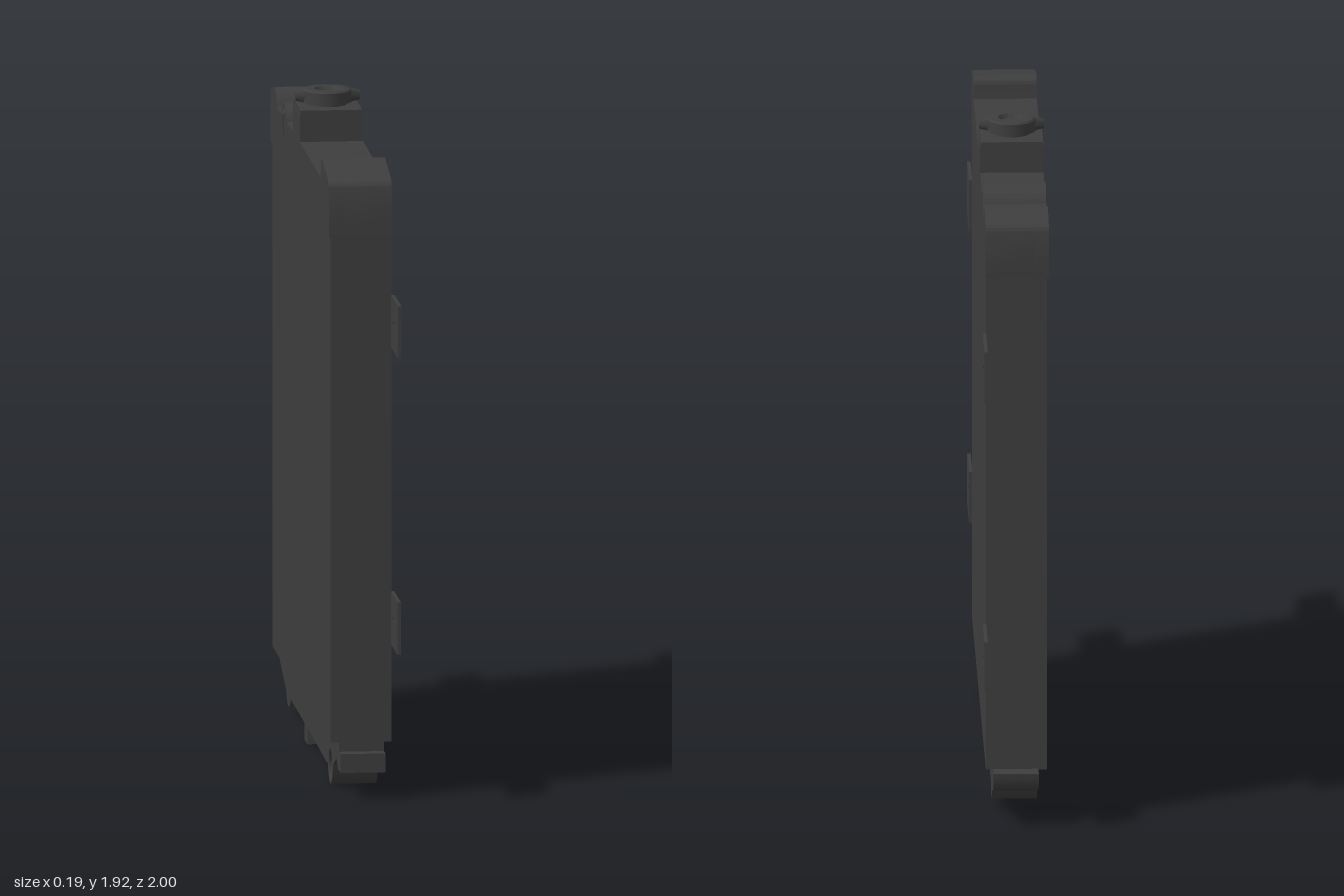
import * as THREE from 'three';
import { toCreasedNormals } from 'three/addons/utils/BufferGeometryUtils.js';

const black = new THREE.MeshStandardMaterial({ color: 0x3e3e3e });
black.name = 'black';

// Side profiles are drawn in (s, y) with s = -z, then extruded along x.
function slab(name, shape, x0, x1) {
  const g = new THREE.ExtrudeGeometry(shape, { depth: x1 - x0, bevelEnabled: false, curveSegments: 20 });
  g.rotateY(Math.PI / 2);
  g.translate(x0, 0, 0);
  const m = new THREE.Mesh(toCreasedNormals(g, 0.6), black);
  m.name = name;
  return m;
}

function withHole(shape, s, y, r) {
  const copy = shape.clone();
  copy.holes.push(new THREE.Path().absarc(s, y, r, 0, Math.PI * 2, true));
  return copy;
}

// A tank is a solid slab plus a rear layer holding a blind pipe port
function tank(name, shape, x0, x1, s, y, r) {
  const g = new THREE.Group();
  g.name = name;
  const mid = x0 + 0.04;
  g.add(slab(name + 'Body', shape, mid, x1));
  g.add(slab(name + 'PortLayer', withHole(shape, s, y, r), x0, mid));
  return g;
}

function topProfile() {
  const p = new THREE.Shape();
  p.moveTo(-0.813, 1.643);
  p.lineTo(-0.813, 1.72);
  p.lineTo(-0.803, 1.785);
  p.quadraticCurveTo(-0.80, 1.805, -0.77, 1.812);
  p.lineTo(-0.61, 1.84);
  p.quadraticCurveTo(-0.582, 1.84, -0.582, 1.815);
  p.lineTo(-0.577, 1.78);
  p.lineTo(0, 1.782);
  // filler neck block
  p.lineTo(0, 1.862);
  p.lineTo(0.195, 1.862);
  p.lineTo(0.195, 1.78);
  p.lineTo(0.375, 1.775);
  // pipe bump
  p.quadraticCurveTo(0.39, 1.817, 0.44, 1.819);
  p.quadraticCurveTo(0.49, 1.817, 0.51, 1.775);
  p.lineTo(0.635, 1.773);
  // end bump
  p.quadraticCurveTo(0.66, 1.822, 0.705, 1.82);
  p.lineTo(0.79, 1.802);
  p.quadraticCurveTo(0.81, 1.795, 0.812, 1.77);
  p.lineTo(0.82, 1.735);
  p.lineTo(0.818, 1.643);
  p.closePath();
  return p;
}

function bottomProfile() {
  const p = new THREE.Shape();
  p.moveTo(-0.80, 0.172);
  // drain spout
  p.lineTo(-0.80, 0.142);
  p.lineTo(-0.84, 0.142);
  p.lineTo(-0.84, 0.087);
  p.lineTo(-0.77, 0.087);
  p.lineTo(-0.725, 0.11);
  p.lineTo(-0.632, 0.075);
  // pipe bump
  p.bezierCurveTo(-0.61, -0.012, -0.51, -0.012, -0.49, 0.055);
  p.lineTo(-0.46, 0.052);
  p.lineTo(0.082, 0.06);
  // locating peg
  p.lineTo(0.082, 0.01);
  p.lineTo(0.155, 0.01);
  p.lineTo(0.155, 0.06);
  p.lineTo(0.545, 0.06);
  p.quadraticCurveTo(0.56, 0.032, 0.608, 0.03);
  p.quadraticCurveTo(0.65, 0.032, 0.67, 0.067);
  p.lineTo(0.835, 0.12);
  p.quadraticCurveTo(0.853, 0.128, 0.858, 0.172);
  p.closePath();
  return p;
}

function rect(s0, s1, y0, y1) {
  return new THREE.Shape([[s0, y0], [s1, y0], [s1, y1], [s0, y1]].map(([a, b]) => new THREE.Vector2(a, b)));
}

export function createModel() {
  const model = new THREE.Group();
  model.name = 'radiator';

  // Core block
  model.add(slab('core', rect(-0.805, 0.805, 0.17, 1.643), -0.09, 0.086));

  // Tanks
  model.add(tank('topTank', topProfile(), -0.095, 0.087, 0.44, 1.762, 0.045));
  model.add(tank('bottomTank', bottomProfile(), -0.065, 0.065, -0.56, 0.063, 0.046));

  // Filler neck rim and cap
  model.add(slab('fillerRim', rect(-0.004, 0.206, 1.858, 1.874), -0.093, 0.085));
  const outline = [[0, 1.86], [0.055, 1.86], [0.055, 1.882], [0.07, 1.882], [0.07, 1.915],
    [0.065, 1.92], [0.038, 1.92], [0.03, 1.908], [0, 1.908]];
  const lathe = new THREE.LatheGeometry(outline.map(([r, y]) => new THREE.Vector2(r, y)), 32);
  const cap = new THREE.Mesh(toCreasedNormals(lathe, 0.6), black);
  cap.name = 'fillerCap';
  cap.position.set(-0.005, 0, -0.102);
  model.add(cap);
  for (const side of [-1, 1]) {
    const ear = new THREE.Mesh(new THREE.CylinderGeometry(0.018, 0.03, 0.04, 4), black);
    ear.geometry.rotateZ(-side * Math.PI / 2);
    ear.geometry.scale(1, 0.8, 1);
    ear.name = 'capEar';
    ear.position.set(-0.005 + side * 0.073, 1.9, -0.102);
    model.add(ear);
  }

  // Mounting brackets: start, end, hole (s) and bottom, hole (y)
  const brackets = [
    [-1.0, -0.803, -0.885, 1.32, 1.40],
    [-0.98, -0.785, -0.857, 0.453, 0.535],
    [0.803, 1.0, 0.925, 1.32, 1.40],
    [0.803, 1.0, 0.925, 0.453, 0.535],
  ];
  for (const [s0, s1, hs, y0, hy] of brackets) {
    model.add(slab('mountingBracket', withHole(rect(s0, s1, y0, y0 + 0.153), hs, hy, 0.01), 0.085, 0.095));
  }
  return model;
}
